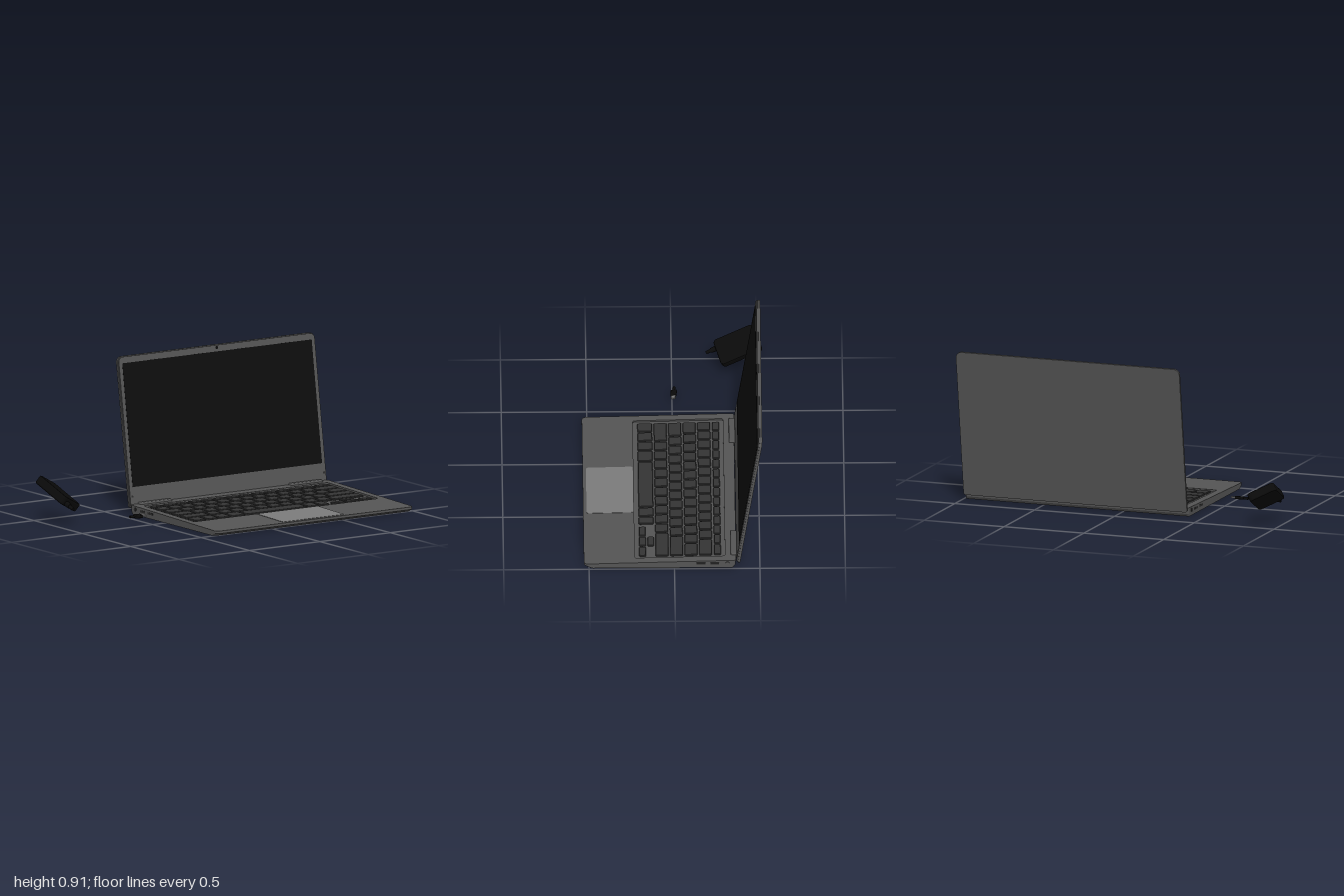
import * as THREE from 'three';
import { RoundedBoxGeometry } from 'three/addons/geometries/RoundedBoxGeometry.js';

const mat = (name, color, side = THREE.FrontSide) => {
  const m = new THREE.MeshStandardMaterial({ color, side });
  m.name = name;
  return m;
};

// Rounded rectangle outline from two corners
function roundRect(x0, y0, x1, y1, r, rBottom = r, Type = THREE.Shape) {
  const s = new Type(), q = Math.PI / 2;
  s.absarc(x1 - rBottom, y0 + rBottom, rBottom, -q, 0);
  s.absarc(x1 - r, y1 - r, r, 0, q);
  s.absarc(x0 + r, y1 - r, r, q, 2 * q);
  s.absarc(x0 + rBottom, y0 + rBottom, rBottom, 2 * q, 3 * q);
  s.closePath();
  return s;
}

// Upright extrusion of a floor plan; plan y is -z
function slab(shape, depth, curveSegments = 4) {
  const g = new THREE.ExtrudeGeometry(shape, { depth, bevelEnabled: false, curveSegments });
  return g.rotateX(-Math.PI / 2);
}

// Move vertices by a rule (x, y, z) => [x, y, z]
function warp(geometry, rule) {
  const p = geometry.attributes.position;
  for (let i = 0; i < p.count; i++) p.setXYZ(i, ...rule(p.getX(i), p.getY(i), p.getZ(i)));
  geometry.computeVertexNormals();
  return geometry;
}

export function createModel() {
  const model = new THREE.Group();
  const body = mat('body grey', 0x555555);
  const keyMat = mat('key grey', 0x343434);
  const padMat = mat('trackpad grey', 0x7c7c7c);
  const screenMat = mat('screen black', 0x0e0e0e);
  const black = mat('adapter black', 0x0a0a0a);
  const portMat = mat('port grey', 0x2c2c2c);

  const add = (parent, name, geometry, material, x = 0, y = 0, z = 0) => {
    const m = new THREE.Mesh(geometry, material);
    m.name = name;
    m.position.set(x, y, z);
    parent.add(m);
    return m;
  };
  const addGroup = (parent, name, x = 0, y = 0, z = 0) => {
    const g = new THREE.Group();
    g.name = name;
    g.position.set(x, y, z);
    parent.add(g);
    return g;
  };

  const left = 0.99, right = -0.41, midX = 0.29;
  const front = 0.53, back = -0.36, seam = 0.016, slope = 0.025;
  const topY = z => 0.031 + (front - z) * slope;

  // Bottom cover, tucked in under the front and rear
  const base = addGroup(model, 'base');
  add(base, 'bottomCover', warp(slab(roundRect(right, -front, left, -back, 0.012, 0.025), seam),
    (x, y, z) => [x, y, y > 0.001 ? (z < 0 ? z + 0.004 : z) : z > 0 ? z - 0.03 : z + 0.014]), body);

  // Wedge-shaped deck with an opening for the keyboard
  const plan = roundRect(right, -front, left, -back, 0.012, 0.025);
  plan.holes.push(roundRect(-0.363, -0.232, 0.944, 0.296, 0.012, 0.012, THREE.Path));
  add(base, 'deck', warp(slab(plan, 1),
    (x, y, z) => [x, seam + y * (topY(z) - seam), y < 0.5 && z < -0.32 ? z + 0.004 : z]), body);

  // Keyboard, tilted with the deck
  const keyboard = addGroup(base, 'keyboard', 0, topY(0), 0);
  keyboard.rotation.x = Math.atan(slope);
  add(keyboard, 'keyboardTray', new THREE.BoxGeometry(1.32, 0.004, 0.54), body, 0.29, -0.012, -0.032);
  const key = (x0, x1, z0, z1) => {
    const g = new THREE.ExtrudeGeometry(roundRect(x0 + 0.003, -z1 + 0.003, x1 - 0.003, -z0 - 0.003, 0.007), {
      depth: 0.006, bevelThickness: 0.003, bevelSize: 0.003, bevelSegments: 1, curveSegments: 2,
    }).rotateX(-Math.PI / 2);
    add(keyboard, 'key', g, keyMat, 0, -0.009, 0);
  };
  const ones = n => Array(n).fill(1);
  const gap = 0.01, x0 = -0.337, x1 = 0.925;
  const rows = [
    { z: [-0.272, -0.232], keys: [...ones(13), 1.2] },
    { z: [-0.221, -0.145], keys: [...ones(13), 1.8] },
    { z: [-0.136, -0.06], keys: [1.3, ...ones(12), 1.35] },
    { z: [-0.051, 0.025], keys: [1.55, ...ones(11), 2.2] },
    { z: [0.034, 0.11], keys: [2.05, ...ones(10), 2.6] },
    { z: [0.119, 0.206], keys: [1, 1, 1, 1.2, 5, 1, 0.85], end: 0.617 },
  ];
  for (const { z, keys, end = x1 } of rows) {
    const unit = (end - x0 + gap) / keys.reduce((a, b) => a + b, 0);
    let x = x0;
    for (const w of keys) {
      key(x, x + w * unit - gap, ...z);
      x += w * unit;
    }
  }
  // Arrow keys
  for (let i = 0; i < 3; i++) key(0.645 + i * 0.096, 0.731 + i * 0.096, 0.166, 0.206);
  key(0.741, 0.827, 0.119, 0.156);

  // Trackpad
  const pad = add(base, 'trackpad', slab(roundRect(0.075, -0.51, 0.51, -0.236, 0.012), 0.003), padMat, 0, topY(0) - 0.001, 0);
  pad.rotation.x = Math.atan(slope);

  // Side ports and round jack or button on both sides
  for (const x of [left, right]) {
    for (const z of [-0.155, -0.235])
      add(base, 'port', new THREE.BoxGeometry(0.004, 0.013, 0.05), portMat, x, 0.03, z);
    add(base, 'roundJack', new THREE.CylinderGeometry(0.011, 0.011, 0.008, 16).rotateZ(Math.PI / 2),
      x > 0 ? body : portMat, x, 0.033, -0.31);
  }

  // Hinges: covers on the deck and a barrel behind
  for (const s of [-1, 1]) {
    const x = midX + s * 0.535;
    add(base, 'hingeCover', new RoundedBoxGeometry(0.226, 0.022, 0.036, 2, 0.008), body, x, 0.052, -0.347);
    add(base, 'hingeBarrel', new THREE.CylinderGeometry(0.01, 0.01, 0.22, 12).rotateZ(Math.PI / 2), portMat, x, 0.042, -0.362);
  }
  add(base, 'rearVent', new THREE.BoxGeometry(0.8, 0.014, 0.006), portMat, midX, 0.033, -0.353);

  // Lid, leaning back from the hinge
  const lid = addGroup(model, 'lid', midX, 0.032, -0.372);
  lid.rotation.x = -0.148;
  const panel = (inset, depth) => new THREE.ExtrudeGeometry(
    roundRect(-0.7 + inset, inset, 0.7 - inset, 0.89 - inset, 0.036 - inset, 0.012),
    { depth, bevelEnabled: false, curveSegments: 6 });
  add(lid, 'lidShell', panel(0, 0.014), body, 0, 0, -0.011);
  add(lid, 'bezel', panel(0.005, 0.008), body, 0, 0, 0.003);
  add(lid, 'screen', new THREE.BoxGeometry(1.344, 0.728, 0.002), screenMat, 0, 0.484, 0.0115);
  add(lid, 'camera', new THREE.CylinderGeometry(0.009, 0.009, 0.003, 16).rotateX(Math.PI / 2), black, 0, 0.871, 0.0115);
  for (const s of [-1, 1])
    add(lid, 'bumper', new THREE.BoxGeometry(0.012, 0.012, 0.002), portMat, s * 0.68, 0.065, 0.0115);

  // Power adapter floating beside, with a stepped cable stub
  const adapter = addGroup(model, 'powerAdapter', -0.907, 0.168, -0.389);
  const u = new THREE.Vector3(0.03, -0.1, 0.23).normalize();
  const v = new THREE.Vector3(0.15, -0.08, -0.045);
  const w = new THREE.Vector3().crossVectors(u, v).normalize();
  v.crossVectors(w, u);
  adapter.quaternion.setFromRotationMatrix(new THREE.Matrix4().makeBasis(v, w, u));
  add(adapter, 'adapterCase', new THREE.ExtrudeGeometry(roundRect(-0.076, -0.119, 0.076, 0.119, 0.014), {
    depth: 0.036, bevelThickness: 0.009, bevelSize: 0.009, bevelSegments: 2, curveSegments: 4,
  }).rotateX(-Math.PI / 2), black, 0, -0.018, 0);
  const stub = [[0.017, 0.04, 0.14], [0.011, 0.035, 0.175]];
  for (const [r, len, z] of stub)
    add(adapter, 'cableStub', new THREE.CylinderGeometry(r * 0.85, r, len, 12).rotateX(Math.PI / 2), black, -0.043, -0.008, z);

  // Charging plug
  const plug = addGroup(model, 'plug', -0.6, 0.059, -0.01);
  plug.rotation.set(0.2, -0.06, 0);
  add(plug, 'plugBody', new RoundedBoxGeometry(0.052, 0.018, 0.036, 2, 0.006), black, 0.002, 0, 0);
  add(plug, 'plugTip', new RoundedBoxGeometry(0.028, 0.011, 0.026, 2, 0.004), padMat, 0.04, 0, 0);
  add(plug, 'plugCable', new THREE.CylinderGeometry(0.008, 0.008, 0.034, 12).rotateZ(Math.PI / 2), black, -0.036, 0, 0);

  return model;
}
